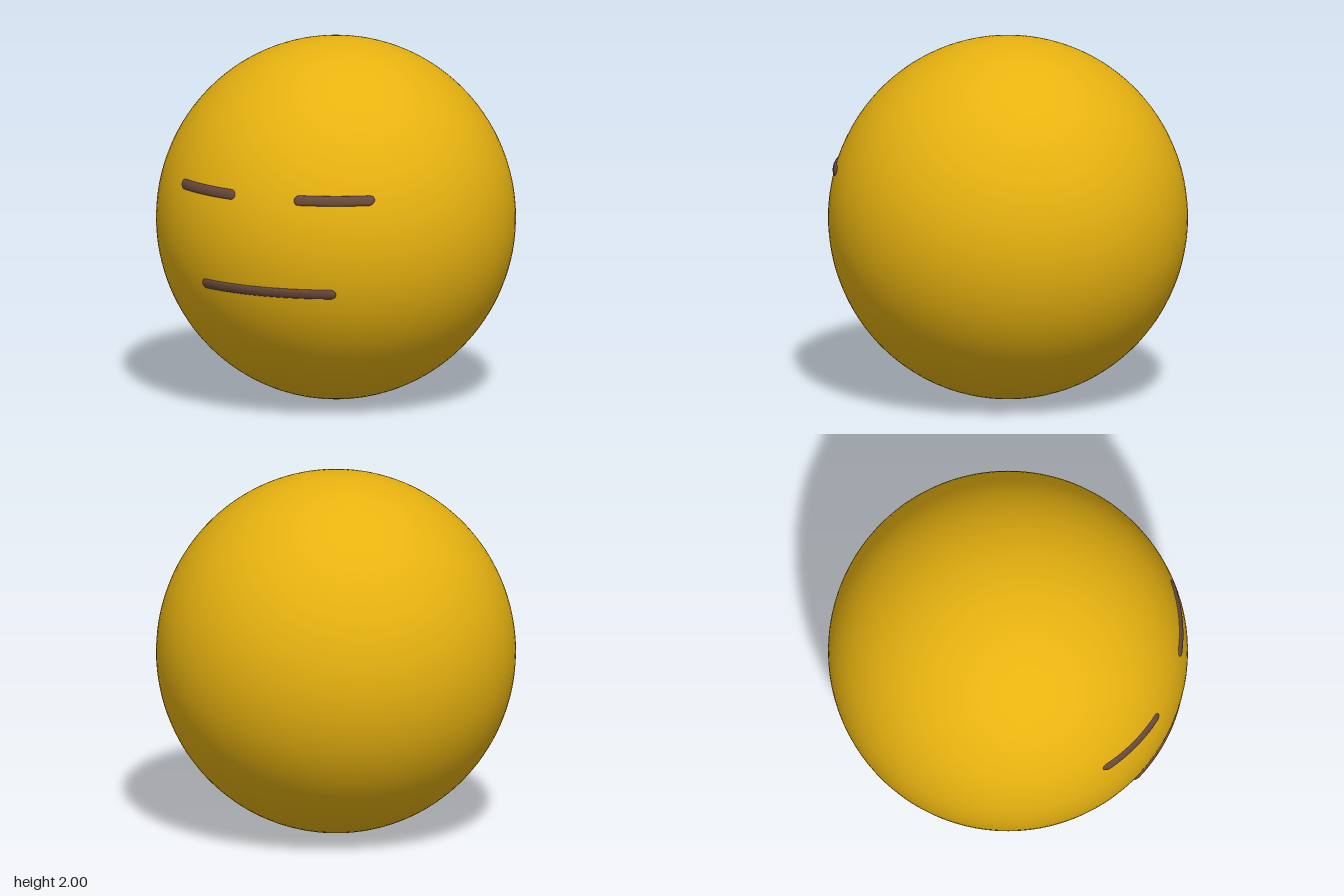
import * as THREE from 'three';

const RX = 0.987, RY = 1; // half width and half height of the head

export function createModel() {
  const group = new THREE.Group();
  const yellow = new THREE.MeshStandardMaterial({ name: 'golden yellow', color: 0xf6be12 });
  const brown = new THREE.MeshStandardMaterial({ name: 'dark brown', color: 0x69493a });

  const add = (name, geometry, material) => {
    const mesh = new THREE.Mesh(geometry, material);
    mesh.name = name;
    group.add(mesh);
  };

  // Slightly tall ball, standing on the ground
  const ball = new THREE.SphereGeometry(1, 96, 64);
  ball.scale(RX, RY, RX);
  ball.translate(0, RY, 0);
  add('head', ball, yellow);

  // Flattened round-ended bar bent onto the front of the ball
  const bar = (x0, x1, y) => {
    const r = 0.027, relief = 0.42;
    const geo = new THREE.CapsuleGeometry(r, x1 - x0 - 2 * r, 8, 20, 32);
    geo.rotateZ(Math.PI / 2);
    geo.translate((x0 + x1) / 2, y, 0);
    const pos = geo.attributes.position;
    const p = new THREE.Vector3(), n = new THREE.Vector3();
    for (let i = 0; i < pos.count; i++) {
      p.fromBufferAttribute(pos, i);
      const lift = p.z * relief;
      const h = (p.y - RY) / RY;
      p.z = Math.sqrt(RX * RX * (1 - h * h) - p.x * p.x);
      n.set(p.x / RX ** 2, (p.y - RY) / RY ** 2, p.z / RX ** 2).normalize();
      p.addScaledVector(n, lift);
      pos.setXYZ(i, p.x, p.y, p.z);
    }
    geo.computeVertexNormals();
    return geo;
  };

  add('leftEye', bar(0.178, 0.582, 1.277), brown);
  add('rightEye', bar(-0.582, -0.178, 1.277), brown);
  add('mouth', bar(-0.403, 0.403, 0.757), brown);

  return group;
}
